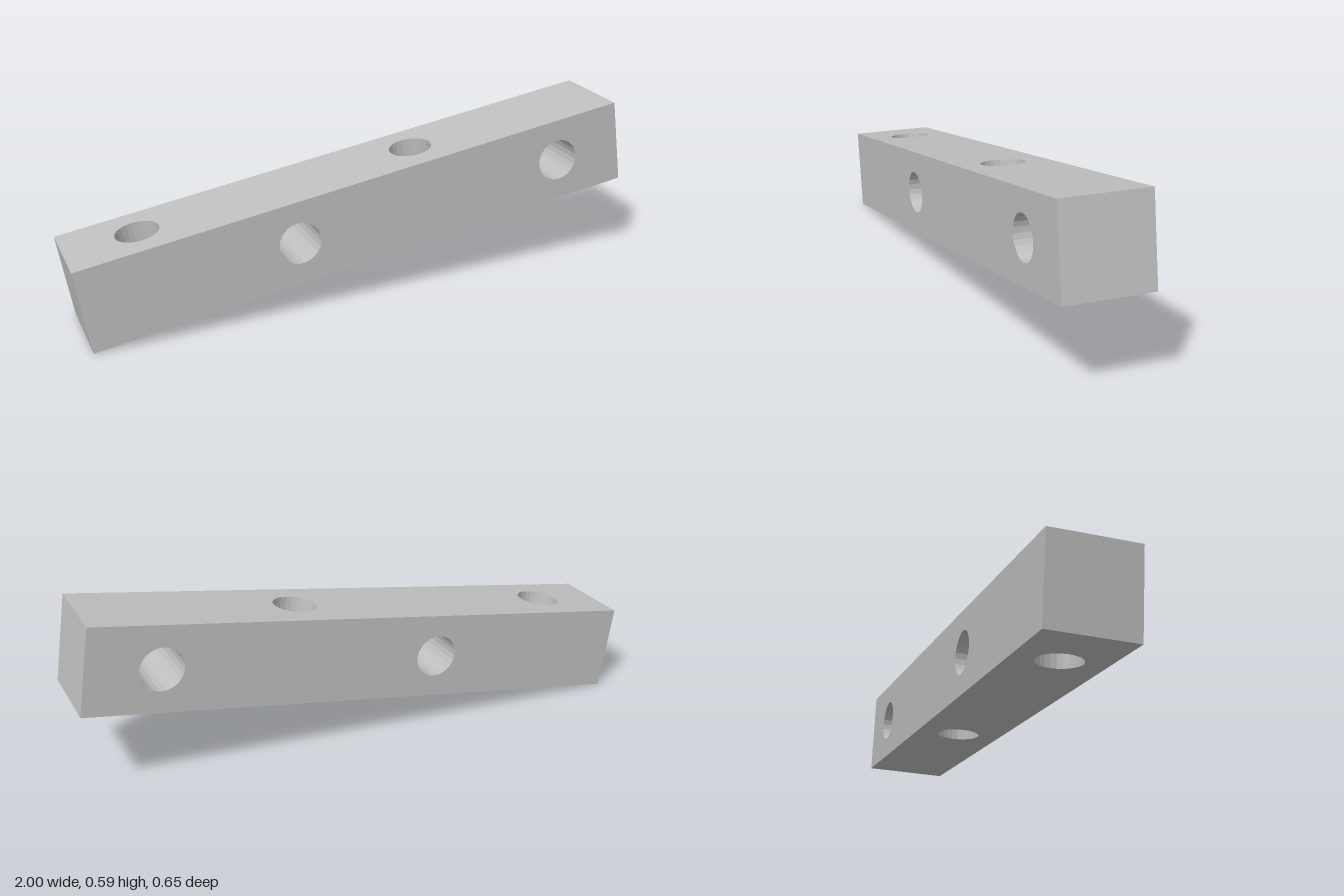
import * as THREE from 'three';
import { mergeGeometries } from 'three/addons/utils/BufferGeometryUtils.js';

const LENGTH = 1.957;
const SIDE = 0.294;
const RADIUS = SIDE / 4;
const SEGMENTS = 24;

// Hole positions along the beam, alternating between the two directions
const VERTICAL_HOLES = [-3 / 8, 1 / 8].map((f) => f * LENGTH);
const CROSS_HOLES = [-1 / 8, 3 / 8].map((f) => f * LENGTH);

// One long face of the beam, pierced by round holes, turned about the beam's axis
function longFace(holes, turn) {
  const shape = new THREE.Shape();
  shape.moveTo(-LENGTH / 2, -SIDE / 2);
  shape.lineTo(LENGTH / 2, -SIDE / 2);
  shape.lineTo(LENGTH / 2, SIDE / 2);
  shape.lineTo(-LENGTH / 2, SIDE / 2);
  shape.closePath();
  for (const x of holes) {
    shape.holes.push(new THREE.Path().absarc(x, 0, RADIUS, 0, Math.PI * 2, true));
  }
  return new THREE.ShapeGeometry(shape, SEGMENTS / 2)
    .translate(0, 0, SIDE / 2)
    .rotateX(turn)
    .toNonIndexed();
}

// Square cap at one end of the beam
function endFace(sign) {
  return new THREE.PlaneGeometry(SIDE, SIDE)
    .translate(0, 0, LENGTH / 2)
    .rotateY(sign * Math.PI / 2)
    .toNonIndexed();
}

// Faceted wall of a through hole, mirrored so that it faces inward
function holeWall(x, turn) {
  const wall = new THREE.CylinderGeometry(RADIUS, RADIUS, SIDE, SEGMENTS, 1, true)
    .scale(-1, 1, 1)
    .rotateX(turn)
    .translate(x, 0, 0)
    .toNonIndexed();
  wall.computeVertexNormals();
  return wall;
}

export function createModel() {
  const grey = new THREE.MeshStandardMaterial({ color: 0xc0c0c0 });
  grey.name = 'light grey';

  // Outer faces
  const outside = [endFace(1), endFace(-1)];
  for (let k = 0; k < 4; k++) {
    outside.push(longFace(k % 2 ? VERTICAL_HOLES : CROSS_HOLES, k * Math.PI / 2));
  }
  const beam = new THREE.Mesh(mergeGeometries(outside), grey);
  beam.name = 'beam';

  // Bored holes
  const bores = [
    ...VERTICAL_HOLES.map((x) => holeWall(x, 0)),
    ...CROSS_HOLES.map((x) => holeWall(x, Math.PI / 2)),
  ];
  const holes = new THREE.Mesh(mergeGeometries(bores), grey);
  holes.name = 'holeWalls';

  // Tilted pose: one end raised and swung forward
  const tilted = new THREE.Group();
  tilted.name = 'drilledBeam';
  tilted.add(beam, holes);
  tilted.rotation.set(0, -0.185, 0.155, 'YXZ');
  tilted.position.y = 0.296;

  const model = new THREE.Group();
  model.name = 'model';
  model.add(tilted);
  return model;
}
